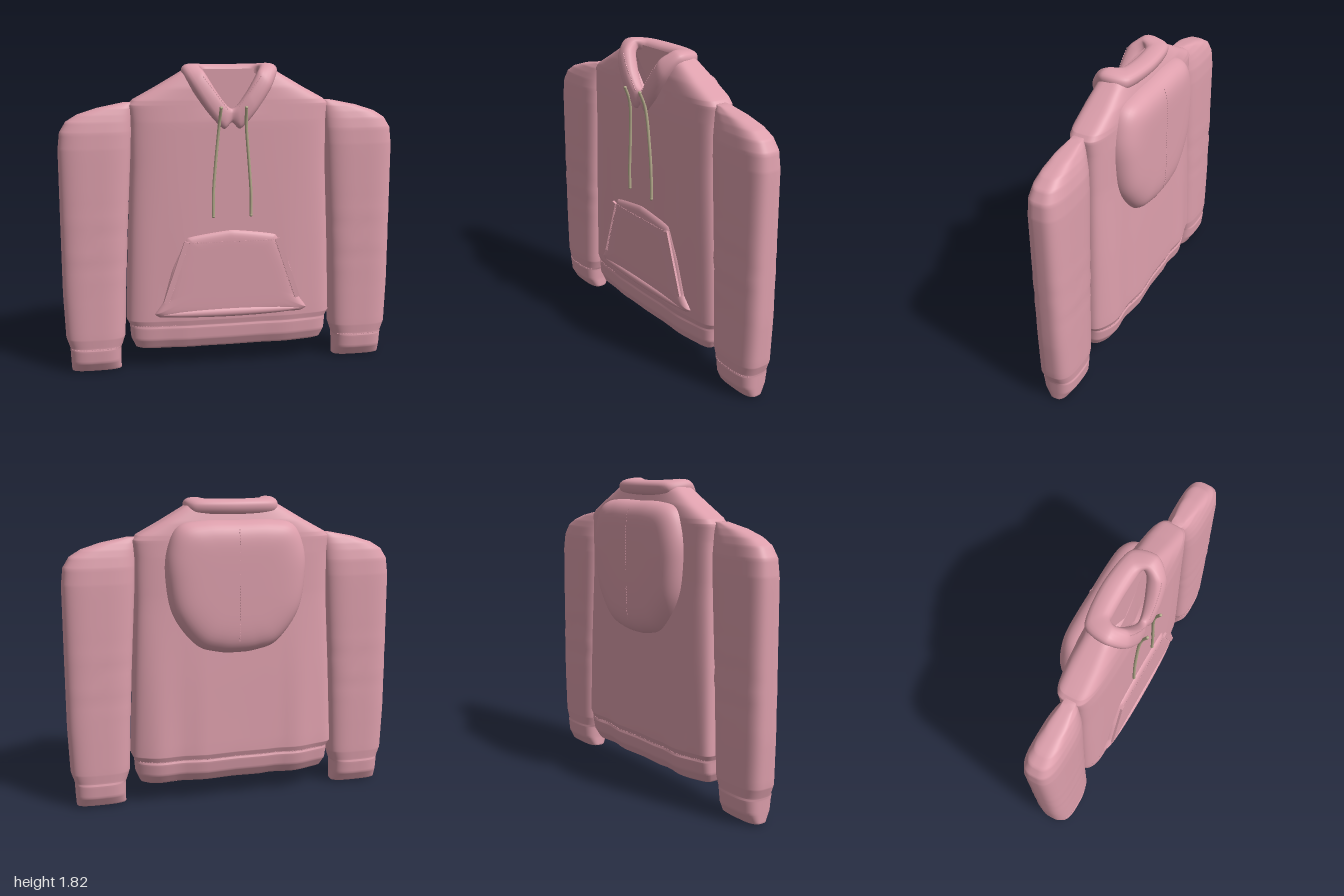
import * as THREE from 'three';
import { mergeGeometries } from 'three/addons/utils/BufferGeometryUtils.js';

const V = (x, y, z) => new THREE.Vector3(x, y, z);
const spow = (v, p) => Math.sign(v) * Math.abs(v) ** p;

export function createModel() {
  const model = new THREE.Group();
  model.name = 'hoodie';
  const pink = new THREE.MeshStandardMaterial({ color: 0xdd9fac, side: THREE.DoubleSide });
  pink.name = 'pink fabric';
  const tan = new THREE.MeshStandardMaterial({ color: 0xb5ab8c });
  tan.name = 'tan cord';

  function add(name, geometry, material = pink) {
    const mesh = new THREE.Mesh(geometry, material);
    mesh.name = name;
    model.add(mesh);
    return mesh;
  }

  // Skin over a stack of closed rings that all have the same number of points
  function skin(rings) {
    const n = rings[0].length, pos = [], idx = [];
    rings.forEach(r => r.forEach(p => pos.push(p.x, p.y, p.z)));
    for (let i = 0; i < rings.length - 1; i++) {
      for (let j = 0; j < n; j++) {
        const a = i * n + j, b = i * n + (j + 1) % n;
        idx.push(a, a + n, b, b, a + n, b + n);
      }
    }
    const g = new THREE.BufferGeometry();
    g.setAttribute('position', new THREE.Float32BufferAttribute(pos, 3));
    g.setIndex(idx);
    g.computeVertexNormals();
    return g;
  }

  // Upright loft of rounded slabs; each key is [y, x0, x1, zBack, zFront]
  function loft(keys, power, rule, capTop) {
    const rings = [], SUB = 6, SEG = 72;
    const ring = (k, size = 1) => Array.from({ length: SEG }, (_, j) => {
      const a = j / SEG * Math.PI * 2;
      const p = V(
        (k[1] + k[2]) / 2 + Math.abs(k[2] - k[1]) / 2 * size * spow(Math.cos(a), power),
        k[0],
        (k[3] + k[4]) / 2 + (k[4] - k[3]) / 2 * size * spow(Math.sin(a), power));
      rule(p);
      return p;
    });
    rings.push(ring(keys[0], 0.001), ring(keys[0], 0.6));
    for (let i = 0; i < keys.length - 1; i++) {
      for (let s = 0; s < SUB; s++) {
        rings.push(ring(keys[i].map((v, c) => v + (keys[i + 1][c] - v) * s / SUB)));
      }
    }
    const last = keys[keys.length - 1];
    rings.push(ring(last));
    if (capTop) rings.push(ring(last, 0.001));
    return skin(rings);
  }

  // Torso with hem, sloped shoulders, soft vertical folds and a V neckline
  const torsoKeys = [
    [0.13, 0.54, -0.05, 0.07], [0.145, 0.575, -0.08, 0.1], [0.2, 0.6, -0.115, 0.125],
    [0.27, 0.605, -0.128, 0.13], [0.285, 0.607, -0.122, 0.126], [0.32, 0.625, -0.135, 0.133],
    [0.8, 0.605, -0.125, 0.135], [1.25, 0.582, -0.112, 0.135], [1.5, 0.58, -0.112, 0.135],
    [1.6, 0.588, -0.108, 0.128], [1.63, 0.56, -0.106, 0.126], [1.7, 0.43, -0.1, 0.118],
    [1.77, 0.31, -0.08, 0.1], [1.8, 0.26, -0.06, 0.08],
  ].map(([y, w, b, f]) => [y, -w, w, b, f]);
  const torso = add('torso', loft(torsoKeys, 0.5, p => {
    const low = Math.max(0, 1 - p.y / 1.2);
    p.z += (p.z < 0 ? 0.011 : 0.004) * low * Math.sin(p.x * 22 + 0.6);
    if (p.z > 0) p.y = Math.min(p.y, 1.53 + 1.25 * Math.abs(p.x));
  }, false));

  // Sleeves with narrower cuffs and crumpled folds near the elbow
  const sleeveKeys = [
    [0.01, 0.69, 0.94, -0.005, 0.06], [0.02, 0.662, 0.96, -0.035, 0.085], [0.08, 0.665, 0.963, -0.07, 0.12],
    [0.155, 0.662, 0.966, -0.078, 0.128], [0.17, 0.655, 0.968, -0.074, 0.124], [0.23, 0.635, 0.988, -0.08, 0.13],
    [0.5, 0.625, 0.997, -0.082, 0.128], [0.9, 0.605, 0.996, -0.082, 0.128], [1.35, 0.578, 0.994, -0.08, 0.126],
    [1.45, 0.572, 0.982, -0.073, 0.12], [1.51, 0.57, 0.945, -0.06, 0.108], [1.55, 0.567, 0.88, -0.047, 0.095],
    [1.585, 0.565, 0.77, -0.03, 0.08], [1.615, 0.565, 0.62, -0.01, 0.055],
  ];
  const sleeves = [1, -1].map(s => add(s > 0 ? 'leftSleeve' : 'rightSleeve',
    loft(sleeveKeys.map(([y, a, b, c, d]) => [y, Math.min(s * a, s * b), Math.max(s * a, s * b), c, d]), 0.65, p => {
      const fold = Math.exp(-(((p.y - 0.75) / 0.16) ** 2));
      p.z += Math.sign(p.z - 0.023) * 0.005 * fold * Math.sin(p.y * 42 + Math.abs(p.x) * 2);
    }, true)));

  // Mirrors half an outline, listed from top centre to bottom centre
  const mirrorLoop = half => [...half, ...half.slice(1, -1).reverse().map(p => V(-p.x, p.y, p.z))];

  // Padded panel: an outline rising from z0 to z1 with rounded edges
  function pad(points, cy, z0, z1, tension, edge) {
    const curve = new THREE.CatmullRomCurve3(
      mirrorLoop(points.map(([x, y]) => V(x, y, 0))), true, 'catmullrom', tension);
    const loop = curve.getPoints(120).slice(0, -1);
    if (z1 < z0) loop.reverse();
    const rings = [];
    for (let i = 0; i <= 18; i++) {
      const s = Math.max(0.001, Math.cos(i / 18 * Math.PI / 2));
      const z = z0 + (z1 - z0) * Math.sqrt(Math.max(0, 1 - s ** edge));
      rings.push(loop.map(p => V(p.x * s, cy + (p.y - cy) * s, z)));
    }
    return skin(rings);
  }

  // Hood hanging down the back
  const hood = add('hood', pad([[0, 1.71], [0.2, 1.71], [0.34, 1.68], [0.405, 1.56], [0.42, 1.4],
    [0.38, 1.17], [0.25, 0.99], [0.12, 0.94], [0, 0.93]], 1.36, -0.085, -0.2, 0.5, 7));

  // Front pouch pocket, its bottom roll and slanted side welts
  const pocket = add('pocket', pad([[0, 0.875], [0.27, 0.835], [0.36, 0.64], [0.415, 0.44],
    [0.465, 0.365], [0.43, 0.342], [0.2, 0.335], [0, 0.33]], 0.58, 0.11, 0.156, 0.12, 14));
  const roll = new THREE.SphereGeometry(1, 32, 12);
  roll.scale(0.42, 0.028, 0.025);
  roll.translate(0, 0.365, 0.143);
  add('pocketHem', roll);
  for (const s of [1, -1]) {
    const welt = new THREE.BoxGeometry(0.03, 0.39, 0.014);
    welt.rotateZ(s * 0.335);
    welt.translate(s * 0.335, 0.625, 0.156);
    add(s > 0 ? 'leftPocketWelt' : 'rightPocketWelt', welt);
  }

  // Neck band: a padded loop running between an inner and an outer edge
  const loopCurve = a => new THREE.CatmullRomCurve3(mirrorLoop(a.map(p => V(...p))), true, 'catmullrom', 0.4);
  const inner = loopCurve([[0, 1.58, 0.13], [0.035, 1.605, 0.13], [0.09, 1.68, 0.12], [0.15, 1.775, 0.09],
    [0.172, 1.8, 0.04], [0.13, 1.79, 0.015], [0, 1.785, 0.01]]);
  const outer = loopCurve([[0, 1.5, 0.125], [0.05, 1.465, 0.13], [0.14, 1.56, 0.13], [0.23, 1.69, 0.115],
    [0.28, 1.79, 0.05], [0.24, 1.775, -0.08], [0, 1.775, -0.115]]);
  const bulge = loopCurve([[0, 0, 0.025], [0, 0, 0.035], [0, 0.005, 0.045], [0, 0.02, 0.045],
    [0, 0.035, 0.02], [0, 0.045, -0.01], [0, 0.045, -0.01]]);
  const bandRings = [];
  for (let i = 0; i <= 120; i++) {
    const t = (i % 120) / 120;
    const a = inner.getPoint(t), b = outer.getPoint(t), up = bulge.getPoint(t);
    const mid = a.clone().add(b).multiplyScalar(0.5), half = b.sub(a).multiplyScalar(0.5);
    bandRings.push(Array.from({ length: 20 }, (_, j) => {
      const q = j / 20 * Math.PI * 2;
      return mid.clone().addScaledVector(half, spow(Math.cos(q), 0.8)).addScaledVector(up, spow(Math.sin(q), 0.8));
    }));
  }
  const band = add('neckBand', skin(bandRings));

  // Inside of the neck seen through the V
  const lining = new THREE.ShapeGeometry(new THREE.Shape(
    [[0, 1.5], [0.22, 1.74], [0.17, 1.8], [-0.17, 1.8], [-0.22, 1.74]].map(p => new THREE.Vector2(...p))));
  lining.translate(0, 0, 0.02);
  add('neckLining', lining);

  // Drawstrings
  for (const s of [1, -1]) {
    const path = new THREE.CatmullRomCurve3([V(s * 0.073, 1.59, 0.195), V(s * 0.078, 1.5, 0.162),
      V(s * 0.1, 1.25, 0.147), V(s * 0.112, 1.08, 0.146), V(s * 0.112, 0.955, 0.146)]);
    const cord = new THREE.TubeGeometry(path, 40, 0.009, 8);
    const tips = [0, 1].map(t => {
      const tip = new THREE.SphereGeometry(0.01, 8, 6);
      tip.translate(...path.getPoint(t).toArray());
      return tip;
    });
    add(s > 0 ? 'leftDrawstring' : 'rightDrawstring', mergeGeometries([cord, ...tips]), tan);
  }

  // Rows of small stitches laid onto a surface from the front (+1) or back (-1)
  function stitches(name, target, side, [x0, y0], [x1, y1]) {
    const count = Math.ceil(Math.hypot(x1 - x0, y1 - y0) / 0.016), parts = [];
    for (let i = 0; i <= count; i++) {
      const x = x0 + (x1 - x0) * i / count, y = y0 + (y1 - y0) * i / count;
      const hit = new THREE.Raycaster(V(x, y, side), V(0, 0, -side)).intersectObject(target)[0];
      if (!hit) continue;
      const g = new THREE.BoxGeometry(0.008, 0.005, 0.005);
      g.rotateZ(Math.atan2(y1 - y0, x1 - x0));
      g.translate(x, y, hit.point.z);
      parts.push(g);
    }
    if (parts.length) add(name, mergeGeometries(parts));
  }
  stitches('pocketTopStitching', pocket, 1, [-0.25, 0.8], [0.25, 0.8]);
  stitches('hemStitching', torso, 1, [-0.59, 0.285], [-0.34, 0.285]);
  stitches('backHemStitching', torso, -1, [-0.58, 0.285], [0.58, 0.285]);
  stitches('hoodSeam', hood, -1, [0, 1.66], [0, 1.02]);
  for (const s of [1, -1]) {
    stitches('pocketSideStitching', pocket, 1, [s * 0.26, 0.79], [s * 0.38, 0.44]);
    stitches('neckStitching', band, 1, [s * 0.03, 1.58], [s * 0.165, 1.76]);
    stitches('cuffStitching', sleeves[s > 0 ? 0 : 1], 1, [s * 0.68, 0.165], [s * 0.95, 0.165]);
  }
  return model;
}
